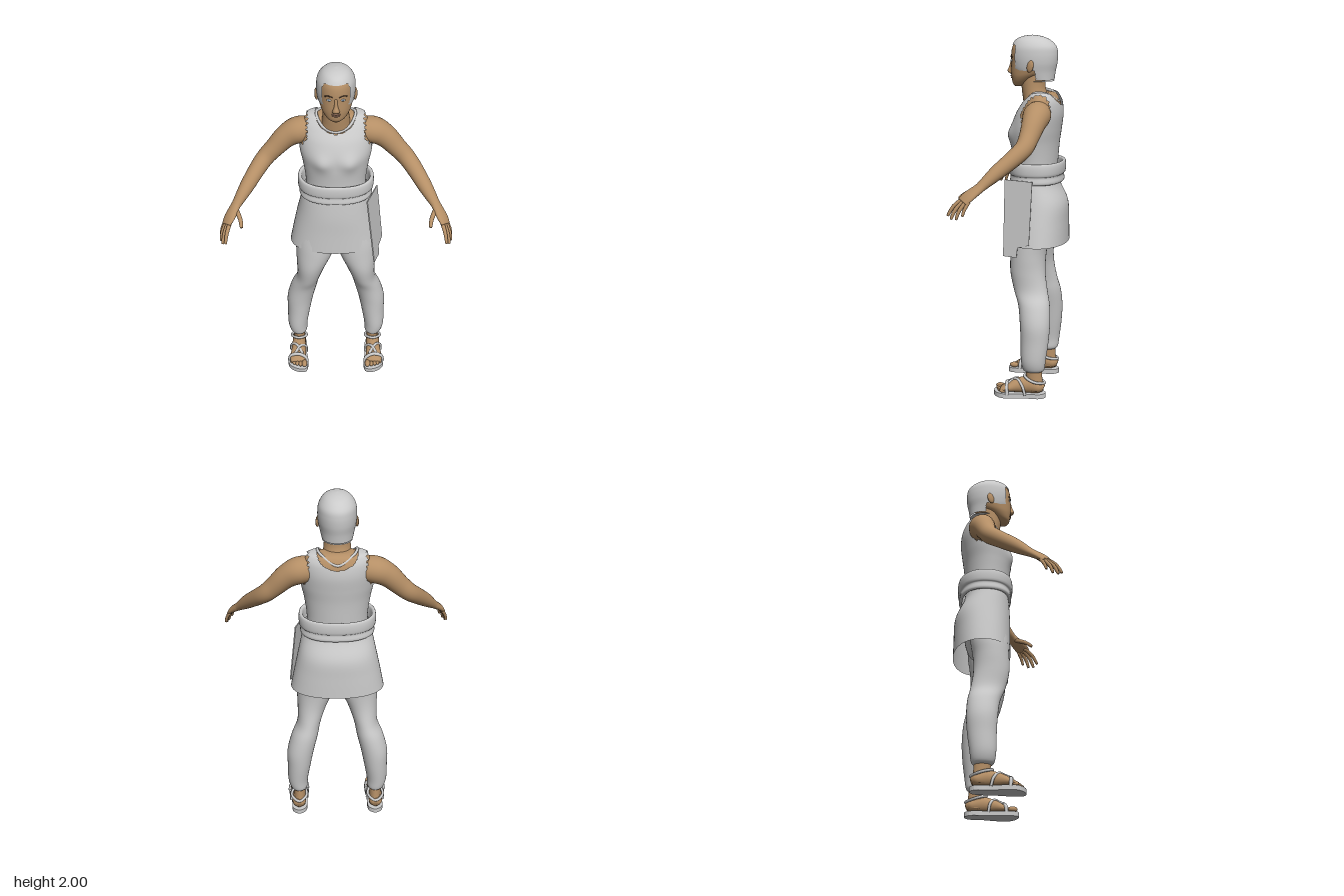
import * as THREE from 'three';

const mat = (name, color, side = THREE.FrontSide) => {
  const m = new THREE.MeshStandardMaterial({ color, side });
  m.name = name;
  return m;
};

// Smooth interpolation through rows of [x, y, z, rx, rz, power]
function refine(rows, k) {
  const out = [], at = i => rows[Math.max(0, Math.min(rows.length - 1, i))];
  for (let i = 0; i < rows.length - 1; i++) {
    for (let s = 0; s < k; s++) {
      const t = s / k, [a, b, c, d] = [at(i - 1), at(i), at(i + 1), at(i + 2)];
      out.push(b.map((v, n) => 0.5 * (2 * v + (c[n] - a[n]) * t + (2 * a[n] - 5 * v + 4 * c[n] - d[n]) * t * t
        + (3 * v - a[n] - 3 * c[n] + d[n]) * t * t * t)));
    }
  }
  out.push(rows[rows.length - 1]);
  return out;
}

// Skin oval cross-sections; level rings by default, or square to the path when ref is given
function loft(rows, { seg = 32, k = 5, cap = true, ref = null, keep = null, deform = null, n = 2 } = {}) {
  const R = refine(rows, k), pos = [], idx = [], P = r => new THREE.Vector3(r[0], r[1], r[2]);
  R.forEach((r, i) => {
    const t = ref ? P(R[Math.min(i + 1, R.length - 1)]).sub(P(R[Math.max(i - 1, 0)])).normalize()
      : new THREE.Vector3(0, rows[rows.length - 1][1] >= rows[0][1] ? 1 : -1, 0);
    const u = (ref ? ref.clone() : new THREE.Vector3(1, 0, 0));
    u.addScaledVector(t, -u.dot(t)).normalize();
    const v = t.clone().cross(u);
    for (let j = 0; j < seg; j++) {
      const a = j / seg * Math.PI * 2, c = Math.cos(a), s = Math.sin(a);
      const p = P(r).addScaledVector(u, Math.max(r[3], 0.0005) * Math.sign(c) * Math.abs(c) ** (2 / n))
        .addScaledVector(v, Math.max(r[4], 0.0005) * Math.sign(s) * Math.abs(s) ** (2 / n));
      if (deform) deform(p);
      pos.push(p.x, p.y, p.z);
    }
  });
  for (let i = 0; i < R.length - 1; i++) {
    for (let j = 0; j < seg; j++) {
      const a = i * seg + j, b = i * seg + (j + 1) % seg, c = a + seg, d = b + seg;
      const mid = o => (pos[a * 3 + o] + pos[b * 3 + o] + pos[c * 3 + o] + pos[d * 3 + o]) / 4;
      if (!keep || keep(mid(0), mid(1), mid(2))) idx.push(a, b, c, b, d, c);
    }
  }
  if (cap) {
    [0, R.length - 1].forEach((i, end) => {
      const m = pos.length / 3;
      pos.push(R[i][0], R[i][1], R[i][2]);
      for (let j = 0; j < seg; j++) {
        const a = i * seg + j, b = i * seg + (j + 1) % seg;
        end ? idx.push(a, b, m) : idx.push(b, a, m);
      }
    });
  }
  const g = new THREE.BufferGeometry();
  g.setAttribute('position', new THREE.Float32BufferAttribute(pos, 3));
  g.setIndex(idx);
  g.computeVertexNormals();
  return g;
}

export function createModel() {
  const model = new THREE.Group();
  model.name = 'figure';
  const skin = mat('skin', 0xb58f66), cloth = mat('grey cloth', 0xcacaca, THREE.DoubleSide);
  const white = mat('eye white', 0xdde2e6), iris = mat('iris', 0x6f8ca8);
  const brow = mat('brow', 0x5a4433), lip = mat('lips', 0x9c7660);
  const add = (parent, name, geo, m) => {
    const mesh = new THREE.Mesh(geo, m);
    mesh.name = name;
    parent.add(mesh);
    return mesh;
  };
  const ball = (parent, name, m, p, s) => {
    const b = add(parent, name, new THREE.SphereGeometry(1, 20, 14), m);
    b.position.set(...p);
    b.scale.set(...s);
    return b;
  };
  const V = p => new THREE.Vector3(...p);
  const tube = (pts, r, closed = false) =>
    new THREE.TubeGeometry(new THREE.CatmullRomCurve3(pts.map(V), closed), 40, r, 8, closed);

  // Torso, with the sleeveless top as a slightly larger shell
  const torso = [[0, 1.2, -.085, .155, .11], [0, 1.3, -.087, .158, .115], [0, 1.4, -.087, .172, .123],
    [0, 1.48, -.093, .188, .128], [0, 1.56, -.11, .192, .12], [0, 1.62, -.125, .185, .1],
    [0, 1.655, -.132, .17, .08], [0, 1.678, -.135, .14, .06], [0, 1.688, -.13, .07, .04]];
  const bust = p => {
    if (p.z > -.06) p.z += .018 * Math.exp(-(((Math.abs(p.x) - .08) / .05) ** 2) - ((p.y - 1.455) / .05) ** 2);
  };
  add(model, 'torso', loft(torso, { deform: bust, seg: 48 }), skin);
  const topShape = (x, y, z) => {
    const tooth = Math.abs(((Math.atan2(y - 1.6, z + .12) * 3 + 20) % 1) - .5) * 2, ax = Math.abs(x);
    const armhole = ax > .15 + .015 * tooth && Math.hypot((y - 1.61) / .1, (z + .12) / .085) < 1 + .15 * tooth;
    return !armhole && Math.hypot(x / .11, (y - 1.71) / .09) > 1;
  };
  add(model, 'sleevelessTop', loft(torso.map(r => [r[0], r[1] + .008, r[2], r[3] + .01, r[4] + .01]),
    { deform: bust, seg: 128, k: 10, cap: false, keep: topShape }), cloth);
  add(model, 'neckTrim', tube([[0, 1.625, -.022], [.07, 1.643, -.05], [.106, 1.692, -.105], [.09, 1.685, -.165],
    [0, 1.64, -.215], [-.09, 1.685, -.165], [-.106, 1.692, -.105], [-.07, 1.643, -.05]], .008, true), cloth);

  // Neck and head
  add(model, 'neck', loft([[0, 1.6, -.1, .09, .075], [0, 1.66, -.088, .078, .072], [0, 1.72, -.075, .071, .066],
    [0, 1.82, -.075, .07, .07]]), skin);
  add(model, 'head', loft([[0, 1.72, .005, .025, .025], [0, 1.738, -.008, .052, .05], [0, 1.77, -.03, .075, .077],
    [0, 1.8, -.052, .087, .102], [0, 1.85, -.07, .096, .119], [0, 1.9, -.075, .097, .124],
    [0, 1.94, -.075, .09, .115], [0, 1.975, -.07, .064, .083], [0, 1.992, -.067, .01, .01]], { seg: 40 }), skin);
  add(model, 'hair', loft([[0, 1.75, -.11, .08, .08], [0, 1.8, -.08, .094, .117], [0, 1.85, -.077, .103, .13],
    [0, 1.9, -.077, .104, .132], [0, 1.94, -.077, .097, .123], [0, 1.975, -.071, .073, .093],
    [0, 1.993, -.068, .04, .05], [0, 2, -.068, .002, .002]], {
    seg: 120, k: 10,
    keep: (x, y, z) => !(z > .015 && y < 1.948) && y > (z < -.1 ? 1.755 : 1.812),
  }), cloth);
  add(model, 'nose', loft([[0, 1.785, .045, .012, .008], [0, 1.795, .049, .02, .018], [0, 1.807, .051, .017, .02],
    [0, 1.83, .047, .01, .014], [0, 1.87, .044, .008, .007]], { seg: 16 }), skin);
  ball(model, 'upperLip', lip, [0, 1.777, .045], [.025, .005, .009]);
  ball(model, 'lowerLip', lip, [0, 1.767, .043], [.022, .006, .009]);
  for (const s of [1, -1]) {
    ball(model, 'eye', white, [s * .037, 1.862, .041], [.014, .006, .006]);
    ball(model, 'iris', iris, [s * .037, 1.862, .0455], [.005, .005, .003]);
    add(model, 'eyebrow', tube([[s * .017, 1.88, .049], [s * .038, 1.886, .042], [s * .058, 1.878, .028]], .003), brow);
    const ear = ball(model, 'ear', skin, [s * .103, 1.835, -.075], [.01, .034, .02]);
    ear.rotation.set(-.2, s * -.35, 0);
  }

  // Belt, skirt and the cloth hanging at the left hip
  add(model, 'belt', loft([[.186, 1.2], [.196, 1.193], [.204, 1.205], [.199, 1.235], [.209, 1.245], [.212, 1.28],
    [.208, 1.308], [.196, 1.31], [.188, 1.29], [.186, 1.2]].map(([r, y]) => [0, y, -.098, r, r - .056]),
  { seg: 56, k: 3, cap: false, n: 2.3 }), cloth);
  add(model, 'skirt', loft([[0, 1.25, -.09, .178, .12], [0, 1.18, -.093, .193, .13], [0, 1.08, -.112, .215, .155],
    [0, .97, -.115, .238, .158], [0, .855, -.115, .26, .16]], { seg: 56, cap: false, n: 2.2 }), cloth);
  add(model, 'hips', loft([[0, .83, -.09, .03, .05], [0, .88, -.09, .1, .1], [0, 1.0, -.095, .17, .12],
    [0, 1.22, -.09, .165, .115]]), cloth);
  const panel = new THREE.ExtrudeGeometry(new THREE.Shape([[-.053, .8], [.027, .8], [.033, .855], [.1, .875],
    [.112, 1.22], [-.053, 1.22]].map(p => new THREE.Vector2(...p))), { depth: .006, bevelEnabled: false });
  const pp = panel.attributes.position;
  for (let i = 0; i < pp.count; i++) {
    const z = -pp.getX(i), y = pp.getY(i);
    pp.setXYZ(i, .168 + (.053 - z) * .36 + (1.22 - y) * .11 + pp.getZ(i), y, z);
  }
  panel.computeVertexNormals();
  add(model, 'hangingCloth', panel, cloth);

  // Limbs, built for the left and mirrored
  const limbs = new THREE.Group();
  limbs.name = 'leftLimbs';
  add(limbs, 'arm', loft([[.11, 1.585, -.125, .065, .065], [.2, 1.577, -.13, .076, .074], [.27, 1.54, -.125, .064, .065],
    [.335, 1.475, -.112, .053, .055], [.385, 1.425, -.095, .049, .05], [.43, 1.378, -.05, .046, .046],
    [.49, 1.308, .03, .04, .039], [.537, 1.25, .092, .031, .026], [.552, 1.232, .112, .032, .022],
    [.58, 1.195, .16, .041, .018], [.597, 1.168, .188, .036, .012]], { ref: V([.4, 0, -.9]), seg: 28 }), skin);
  const digits = [
    [[.545, 1.225, .125], [.52, 1.2, .185], [.513, 1.175, .222], .012],
    [[.575, 1.185, .185], [.592, 1.145, .235], [.6, 1.098, .264], .0105],
    [[.588, 1.175, .18], [.608, 1.13, .222], [.617, 1.083, .243], .0105],
    [[.6, 1.17, .168], [.62, 1.125, .2], [.627, 1.083, .214], .01],
    [[.605, 1.17, .152], [.623, 1.13, .172], [.63, 1.1, .18], .009]];
  digits.forEach(([a, b, c, r], i) => {
    const end = c.map((v, n) => v + (v - b[n]) * .08);
    add(limbs, i ? 'finger' : 'thumb', loft([[...a, r * 1.1, r * 1.1], [...b, r, r], [...c, r * .75, r * .75],
      [...end, r * .3, r * .3]], { ref: V([.6, -.2, -.7]), seg: 10, k: 3 }), skin);
  });
  add(limbs, 'trouserLeg', loft([[.222, .148, -.12, .036, .048], [.225, .165, -.12, .05, .062],
    [.23, .22, -.12, .058, .07], [.222, .32, -.125, .067, .078], [.212, .42, -.125, .076, .084],
    [.187, .52, -.115, .075, .088], [.162, .6, -.092, .067, .094], [.143, .7, -.072, .083, .098],
    [.123, .8, -.071, .106, .1], [.115, .9, -.08, .11, .105], [.095, 1.05, -.09, .09, .105]]), cloth);

  // Foot and toes
  add(limbs, 'ankle', loft([[.224, .04, -.13, .036, .046], [.222, .1, -.125, .033, .045], [.222, .18, -.12, .033, .045]]), skin);
  add(limbs, 'foot', loft([[.226, .052, -.178, .018, .02], [.226, .06, -.155, .038, .036], [.225, .07, -.1, .04, .048],
    [.227, .063, -.03, .043, .04], [.229, .05, .02, .048, .026], [.227, .04, .06, .046, .014]],
  { ref: V([1, 0, 0]) }), skin);
  [[.19, .08, .016], [.214, .08, .012], [.234, .074, .011], [.252, .066, .011], [.268, .054, .01]].forEach(([x, z, r]) =>
    ball(limbs, 'toe', skin, [x, .026 + r, z - .006], [r, r, r * 1.7]));

  // Sandal
  const outline = new THREE.Shape().setFromPoints(new THREE.CatmullRomCurve3([[.225, 0, .19], [.262, 0, .165],
    [.269, 0, .08], [.284, 0, 0], [.287, 0, -.045], [.265, 0, -.083], [.22, 0, -.107], [.182, 0, -.103], [.168, 0, -.06],
    [.178, 0, .05], [.186, 0, .165]].map(V), true).getPoints(44).slice(0, -1).map(p => new THREE.Vector2(p.x, p.z)));
  add(limbs, 'sandalSole', new THREE.ExtrudeGeometry(outline, { depth: .026, bevelEnabled: false }).rotateX(-Math.PI / 2), cloth);
  add(limbs, 'toeStrap', tube([[.176, .02, .04], [.182, .055, .036], [.225, .078, .03], [.272, .06, .024], [.284, .02, .02]], .01), cloth);
  add(limbs, 'ankleStrap', tube([[.225, .122, -.068], [.262, .108, -.1], [.267, .095, -.14], [.225, .085, -.183],
    [.183, .095, -.14], [.186, .108, -.1]], .008, true), cloth);
  add(limbs, 'innerStrap', tube([[.18, .02, -.06], [.183, .07, -.05], [.215, .1, -.02], [.245, .078, .02]], .008), cloth);
  add(limbs, 'outerStrap', tube([[.274, .02, -.08], [.27, .07, -.065], [.24, .102, -.03], [.2, .075, .025]], .008), cloth);
  model.add(limbs);
  const right = limbs.clone();
  right.name = 'rightLimbs';
  right.scale.x = -1;
  model.add(right);
  return model;
}
